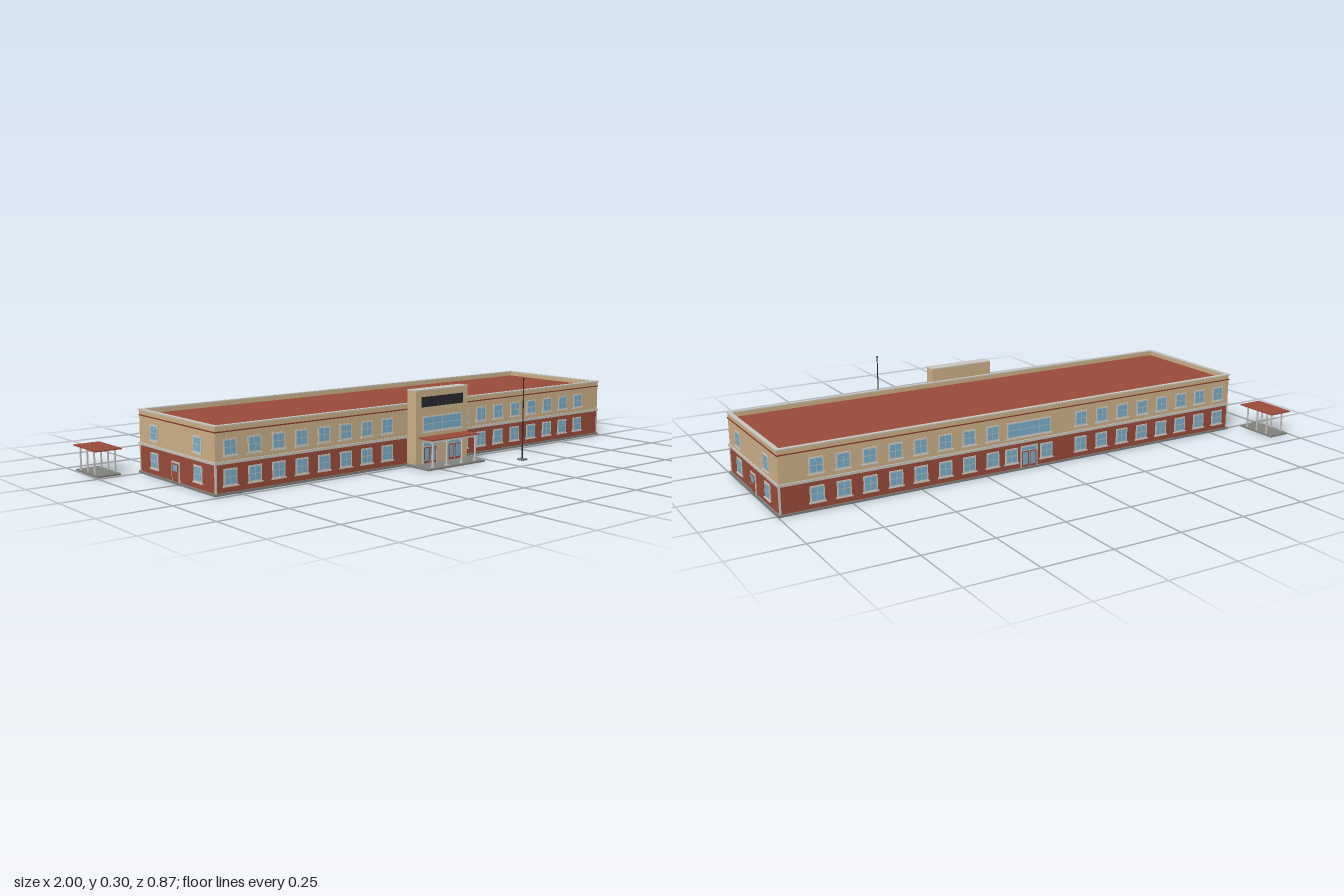
import * as THREE from 'three';

const mat = (name, color, side = THREE.FrontSide) => {
  const m = new THREE.MeshStandardMaterial({ color, side });
  m.name = name;
  return m;
};

export function createModel() {
  const brick = mat('brick red', 0x9a4b3a);
  const tan = mat('tan stucco', 0xcdb088);
  const trim = mat('pale stone trim', 0xc9c6bf);
  const glass = mat('window blue', 0x78aecb);
  const concrete = mat('concrete grey', 0x80807c);
  const dark = mat('charcoal metal', 0x2a2a2c);
  const rust = mat('dark red stripe', 0x8c3b2c);

  const model = new THREE.Group();
  model.name = 'schoolBuilding';
  const unit = new THREE.BoxGeometry(1, 1, 1);

  // Box centred on x and z, with its underside at y
  const box = (parent, name, m, w, h, d, x, y, z) => {
    const b = new THREE.Mesh(unit, m);
    b.name = name;
    b.scale.set(w, h, d);
    b.position.set(x, y + h / 2, z);
    parent.add(b);
    return b;
  };
  const group = (name, parent = model) => {
    const g = new THREE.Group();
    g.name = name;
    parent.add(g);
    return g;
  };

  const CX = 0.079, CZ = -0.016, W = 1.83, D = 0.488;

  // Main block
  box(model, 'foundation', concrete, W + 0.012, 0.008, D + 0.008, CX, 0, CZ);
  box(model, 'lowerWalls', brick, W, 0.093, D, CX, 0.008, CZ);
  box(model, 'upperWalls', tan, W, 0.101, D, CX, 0.101, CZ);
  box(model, 'roof', brick, W - 0.02, 0.002, D - 0.02, CX, 0.202, CZ);

  // Bands that run round the outside, and the parapet
  const ring = (name, m, y, h, t, out) => {
    const g = group(name);
    for (const s of [-1, 1]) {
      box(g, name + 'Long', m, W + 2 * out, h, t, CX, y, CZ + s * (D / 2 + out - t / 2));
      box(g, name + 'End', m, t, h, D + 2 * out - 2 * t, CX + s * (W / 2 + out - t / 2), y, CZ);
    }
  };
  ring('floorBand', trim, 0.099, 0.009, 0.006, 0.004);
  ring('stripe', rust, 0.2, 0.004, 0.004, 0.002);
  ring('parapet', tan, 0.202, 0.017, 0.01, 0);
  ring('parapetCap', trim, 0.219, 0.004, 0.015, 0.004);
  for (const sx of [-1, 1]) for (const sz of [-1, 1])
    box(model, 'cornerTrim', trim, 0.006, 0.091, 0.006, CX + sx * (W / 2 - 0.0015), 0.008, CZ + sz * (D / 2 - 0.0015));

  // Wall fittings, built facing +z on the plane z = 0
  const window = (wall, x, y, w = 0.05, h = 0.054, cols = 2, rows = 2) => {
    const g = group('window', wall);
    box(g, 'windowFrame', trim, w, h, 0.006, x, y, 0);
    box(g, 'windowSill', trim, w + 0.008, 0.004, 0.012, x, y - 0.004, 0);
    const f = 0.005, bar = 0.002;
    const pw = (w - 2 * f - (cols - 1) * bar) / cols;
    const ph = (h - 2 * f - (rows - 1) * bar) / rows;
    for (let i = 0; i < cols; i++) for (let j = 0; j < rows; j++)
      box(g, 'pane', glass, pw, ph, 0.007, x - w / 2 + f + pw / 2 + i * (pw + bar), y + f + j * (ph + bar), 0);
  };
  const sideDoor = (wall, x) => {
    const g = group('sideDoor', wall);
    box(g, 'doorFrame', trim, 0.05, 0.067, 0.006, x, 0.008, 0);
    box(g, 'doorLeaf', brick, 0.04, 0.061, 0.008, x, 0.008, 0);
    box(g, 'doorGlass', glass, 0.028, 0.022, 0.01, x, 0.043, 0);
  };
  const glassDoors = (wall, x) => {
    const g = group('doubleDoor', wall);
    box(g, 'doorFrame', trim, 0.07, 0.078, 0.006, x, 0.008, 0);
    box(g, 'transom', glass, 0.06, 0.011, 0.007, x, 0.07, 0);
    for (const s of [-1, 1]) {
      box(g, 'doorLeaf', brick, 0.028, 0.058, 0.007, x + s * 0.0155, 0.009, 0);
      box(g, 'doorGlass', glass, 0.02, 0.046, 0.008, x + s * 0.0155, 0.017, 0);
    }
  };
  const wallGroup = (name, x, z, turn) => {
    const g = group(name);
    g.position.set(x, 0, z);
    g.rotation.y = turn;
    return g;
  };

  const front = wallGroup('frontWall', 0, CZ + D / 2, 0);
  const back = wallGroup('backWall', 0, CZ - D / 2, Math.PI);
  for (let k = 0; k < 19; k++) {
    if (k > 7 && k < 11) continue;
    const x = -0.782 + k * 0.0917;
    for (const y of [0.03, 0.125]) {
      window(front, x, y);
      window(back, -x, y);
    }
  }
  window(back, -CX, 0.122, 0.18, 0.056, 4, 2);
  glassDoors(back, -CX);
  for (const s of [-1, 1]) window(back, -CX + s * 0.072, 0.03);

  // Two end walls with a door between windows
  for (const s of [-1, 1]) {
    const end = wallGroup('endWall', CX + s * W / 2, CZ, s * Math.PI / 2);
    for (const x of [-0.141, 0.141]) for (const y of [0.03, 0.125]) window(end, x, y);
    sideDoor(end, 0);
  }

  // Entrance tower
  box(model, 'entranceTower', tan, 0.25, 0.262, 0.046, CX, 0.008, 0.251);
  box(model, 'towerCap', trim, 0.254, 0.004, 0.046, CX, 0.269, 0.252);
  const entry = wallGroup('entranceWall', CX, 0.274, 0);
  box(entry, 'signPanel', dark, 0.198, 0.036, 0.008, 0, 0.211, 0);
  window(entry, 0, 0.122, 0.19, 0.056, 4, 2);
  for (const s of [-1, 1]) glassDoors(entry, s * 0.06);

  // Entrance platform, columns and canopy
  box(model, 'platform', concrete, 0.276, 0.006, 0.125, CX, 0, 0.2925);
  const shaft = new THREE.CylinderGeometry(0.0035, 0.004, 0.086, 12);
  for (const dx of [-0.103, -0.036, 0.036, 0.103]) {
    const c = new THREE.Mesh(shaft, trim);
    c.name = 'canopyColumn';
    c.position.set(CX + dx, 0.049, 0.338);
    model.add(c);
    box(model, 'columnBase', trim, 0.011, 0.004, 0.011, CX + dx, 0.006, 0.338);
    box(model, 'columnCapital', trim, 0.013, 0.004, 0.013, CX + dx, 0.09, 0.338);
  }
  box(model, 'canopyBeam', trim, 0.226, 0.008, 0.01, CX, 0.094, 0.338);
  box(model, 'canopyRoof', brick, 0.232, 0.004, 0.072, CX, 0.101, 0.31);

  // Flagpole
  const pole = group('flagpole');
  pole.position.set(0.343, 0, 0.42);
  box(pole, 'poleBase', concrete, 0.027, 0.006, 0.027, 0, 0, 0);
  const rod = new THREE.Mesh(new THREE.CylinderGeometry(0.0018, 0.0026, 0.293, 10), dark);
  rod.name = 'poleShaft';
  rod.position.y = 0.1525;
  const ball = new THREE.Mesh(new THREE.SphereGeometry(0.0035, 12, 8), dark);
  ball.name = 'poleBall';
  ball.position.y = 0.2985;
  pole.add(rod, ball);

  // Open shelter behind the building
  const shelter = group('shelter');
  shelter.position.set(-0.951, 0, -0.35);
  box(shelter, 'shelterSlab', concrete, 0.086, 0.006, 0.168, 0, 0, 0);
  box(shelter, 'shelterRoof', brick, 0.098, 0.004, 0.172, 0, 0.089, 0);
  for (const x of [-0.038, 0.038]) for (const z of [-0.053, 0, 0.053])
    box(shelter, 'shelterPost', trim, 0.005, 0.083, 0.005, x, 0.006, z);

  return model;
}
